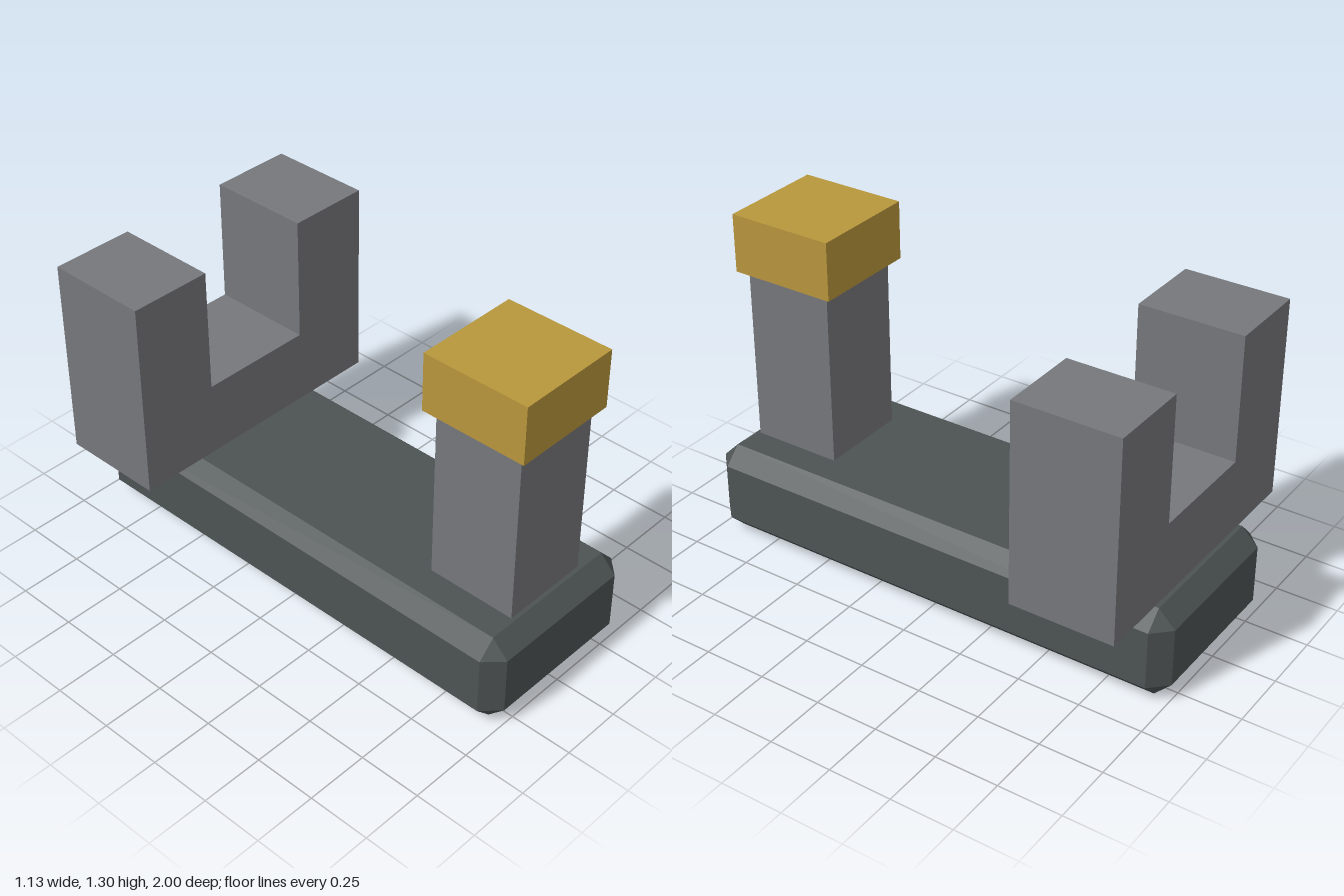
import * as THREE from 'three';
import { ConvexGeometry } from 'three/addons/geometries/ConvexGeometry.js';

const darkMetal = new THREE.MeshStandardMaterial({ name: 'dark metal', color: 0x4d5353 });
const greyMetal = new THREE.MeshStandardMaterial({ name: 'grey metal', color: 0x76777b });
const gold = new THREE.MeshStandardMaterial({ name: 'gold', color: 0xb8963c });

// Box with every edge chamfered and every corner cut to a triangle
function chamferedBox(w, h, d, c) {
  const points = [];
  for (const sx of [-1, 1]) for (const sy of [-1, 1]) for (const sz of [-1, 1]) {
    const [x, y, z] = [w / 2, h / 2, d / 2];
    points.push(
      new THREE.Vector3(sx * x, sy * (y - c), sz * (z - c)),
      new THREE.Vector3(sx * (x - c), sy * y, sz * (z - c)),
      new THREE.Vector3(sx * (x - c), sy * (y - c), sz * z));
  }
  return new ConvexGeometry(points);
}

export function createModel() {
  const model = new THREE.Group();
  const add = (name, geometry, material, y, z) => {
    const mesh = new THREE.Mesh(geometry, material);
    mesh.name = name;
    mesh.position.set(0, y, z);
    model.add(mesh);
  };

  // Long base rail
  add('baseRail', chamferedBox(0.734, 0.367, 2, 0.067), darkMetal, 0.1835, 0);

  // Front post and its cap
  add('frontPost', new THREE.BoxGeometry(0.367, 0.703, 0.364), greyMetal, 0.7185, 0.735);
  add('frontPostCap', new THREE.BoxGeometry(0.433, 0.232, 0.433), gold, 1.185, 0.734);

  // U-shaped rear bracket with an open notch
  const notch = new THREE.Shape([
    [-0.567, 0], [0.567, 0], [0.567, 0.8], [0.234, 0.8],
    [0.234, 0.3], [-0.234, 0.3], [-0.234, 0.8], [-0.567, 0.8],
  ].map(([x, y]) => new THREE.Vector2(x, y)));
  add('rearNotchBracket', new THREE.ExtrudeGeometry(notch, { depth: 0.417, bevelEnabled: false }),
    greyMetal, 0.367, -0.917);

  return model;
}
